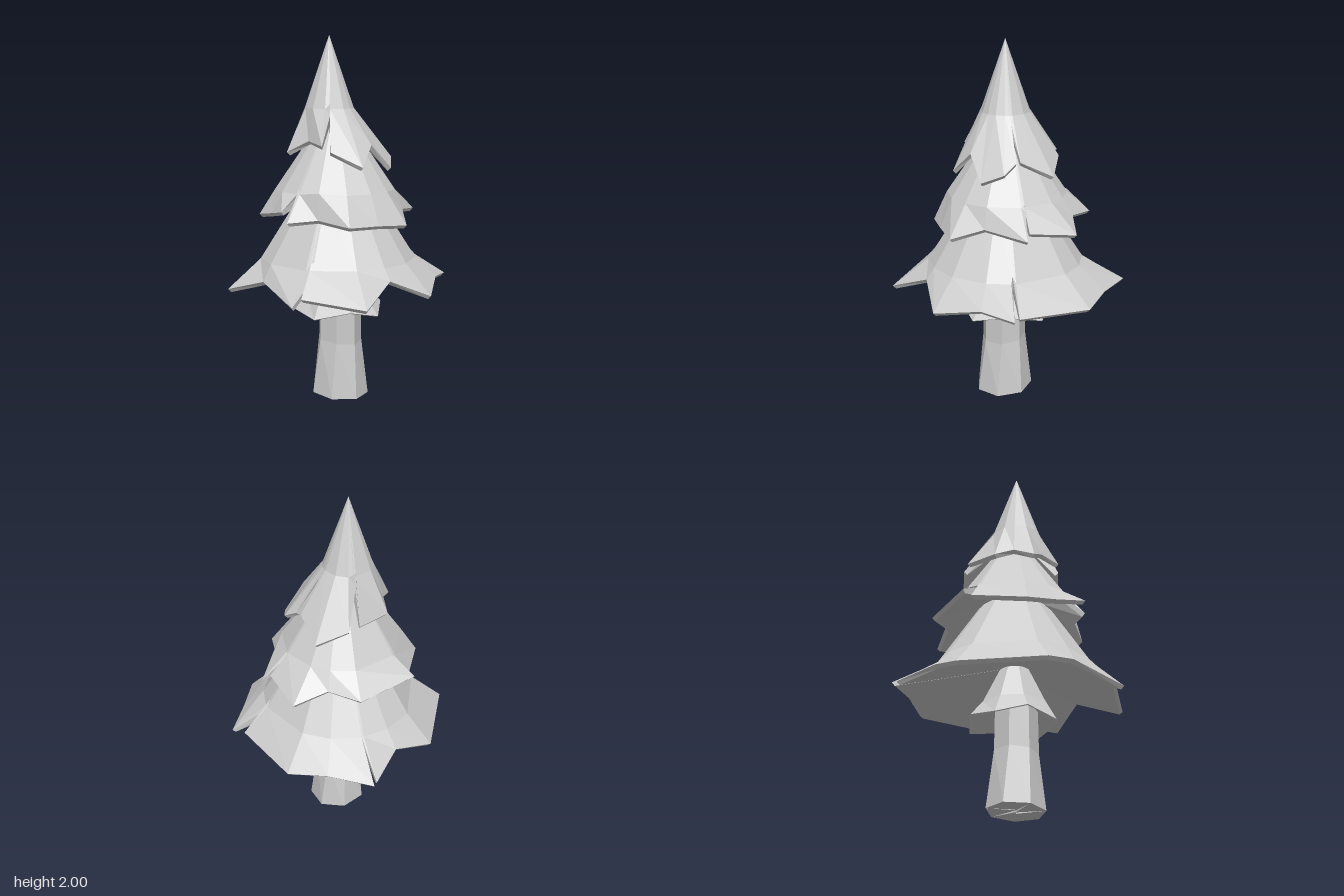
import * as THREE from 'three';

const paleGrey = new THREE.MeshStandardMaterial({ color: 0xcccccc });
paleGrey.name = 'pale grey';

// Skins consecutive rings of points with faceted quads (rings run -z, +x, +z, -x).
function loft(name, rings) {
  const pos = [];
  for (let k = 0; k < rings.length - 1; k++) {
    const lo = rings[k], up = rings[k + 1], n = lo.length;
    for (let i = 0; i < n; i++) {
      const j = (i + 1) % n;
      for (const p of [lo[i], up[i], up[j], lo[i], up[j], lo[j]]) pos.push(...p);
    }
  }
  const geo = new THREE.BufferGeometry();
  geo.setAttribute('position', new THREE.Float32BufferAttribute(pos, 3));
  geo.computeVertexNormals();
  const mesh = new THREE.Mesh(geo, paleGrey);
  mesh.name = name;
  return mesh;
}

// Tier of boughs: ragged rim, a bend at (bendR, bendY), then a steeper slope up to (topR, topY).
// Below the rim edge a shallow underside runs in to (underR, underY).
function tier(name, [cx, cz], rim, [bendR, bendY], [topR, topY], [underR, underY], drop = 0.018) {
  const slope = (topY - bendY) / (bendR - topR);
  // Moves every rim point to a new radius and height: place(d, y) gives [radius, height].
  const ring = (place) => rim.map(([x, y, z]) => {
    const dx = x - cx, dz = z - cz, d = Math.hypot(dx, dz);
    const [r, h] = place(d, y);
    return [cx + dx / d * r, h, cz + dz / d * r];
  });
  return loft(name, [
    ring(() => [underR, underY]),
    ring((d, y) => [d - drop, y - drop]),
    rim,
    ring((d) => {
      const r = Math.min(bendR, d * 0.94);
      return [r, bendY + (bendR - r) * slope];
    }),
    ring(() => [topR, topY]),
  ]);
}

// Rims as [x, y, z]; the raised inner points are the slits between boughs.
const lowerRim = [
  [-0.45, 0.65, -0.495], [-0.2, 0.66, -0.545], [0.01, 0.635, -0.6], [0.38, 0.65, -0.425],
  [0.3, 0.76, -0.31], [0.445, 0.66, -0.445], [0.485, 0.68, -0.25], [0.58, 0.63, 0],
  [0.435, 0.73, 0.19], [0.445, 0.63, 0.45], [0.11, 0.665, 0.54], [0.1, 0.745, 0.41],
  [0.09, 0.63, 0.595], [-0.2, 0.7, 0.435], [-0.455, 0.625, 0.41], [-0.58, 0.635, -0.035],
  [-0.455, 0.7, -0.23], [-0.45, 0.65, -0.465], [-0.31, 0.76, -0.34],
];
const middleRim = [
  [0.015, 1.03, -0.505], [0.23, 1.06, -0.365], [0.17, 1.15, -0.285], [0.27, 1.03, -0.385],
  [0.33, 1.06, -0.14], [0.435, 1.0, 0.01], [0.35, 1.01, 0.16], [0.255, 1.01, 0.3],
  [0.08, 1.04, 0.33], [-0.04, 1.03, 0.44], [-0.055, 1.15, 0.325], [-0.065, 1.09, 0.455],
  [-0.2, 1.06, 0.35], [-0.35, 1.03, 0.25], [-0.43, 1.07, -0.04], [-0.34, 1.16, -0.05],
  [-0.475, 1.09, -0.065], [-0.3, 1.06, -0.355], [-0.12, 1.08, -0.375],
];
const crownRim = [
  [-0.17, 1.38, -0.235], [-0.02, 1.305, -0.32], [0.12, 1.39, -0.21], [0.07, 1.55, -0.09],
  [0.15, 1.39, -0.205], [0.23, 1.34, -0.19], [0.29, 1.29, -0.08], [0.235, 1.42, 0.04],
  [0.25, 1.31, 0.155], [0.095, 1.39, 0.23], [0.04, 1.58, 0.14], [0.055, 1.42, 0.25],
  [-0.06, 1.44, 0.2], [-0.19, 1.375, 0.215], [-0.21, 1.42, 0.1], [-0.275, 1.38, 0.015],
  [-0.21, 1.4, -0.19], [-0.13, 1.56, -0.07],
];
const skirtRim = [
  [0.01, 0.48, -0.28], [0.18, 0.52, -0.17], [0.265, 0.48, 0.01], [0.18, 0.52, 0.17],
  [0, 0.475, 0.245], [-0.19, 0.505, 0.17], [-0.25, 0.475, 0.01], [-0.18, 0.51, -0.17],
];

// Seven-sided trunk ring, with a slight tilt in height.
function trunkRing(r, y, turn, tilt) {
  return Array.from({ length: 7 }, (_, i) => {
    const a = turn + i / 7 * Math.PI * 2;
    return [0.013 + Math.sin(a) * r, y - Math.sin(a) * tilt, -Math.cos(a) * r];
  });
}

export function createModel() {
  const tree = new THREE.Group();
  tree.name = 'tree';
  tree.add(
    loft('trunk', [
      trunkRing(0, 0.012, 0.18, 0.012),
      trunkRing(0.16, 0.012, 0.18, 0.012),
      trunkRing(0.123, 0.32, 0.05, 0.015),
      trunkRing(0.118, 0.64, 0.05, 0),
    ]),
    tier('skirtBoughs', [0, 0], skirtRim, [0.18, 0.59], [0.03, 0.9], [0.1, 0.58], 0.004),
    tier('lowerBoughs', [0, 0], lowerRim, [0.43, 0.79], [0.2, 1.15], [0.08, 0.79]),
    tier('middleBoughs', [-0.015, 0], middleRim, [0.33, 1.17], [0.05, 1.58], [0.18, 1.15]),
    tier('crownBoughs', [-0.035, 0.03], crownRim, [0.135, 1.61], [0, 2], [0.08, 1.52]),
  );
  return tree;
}
